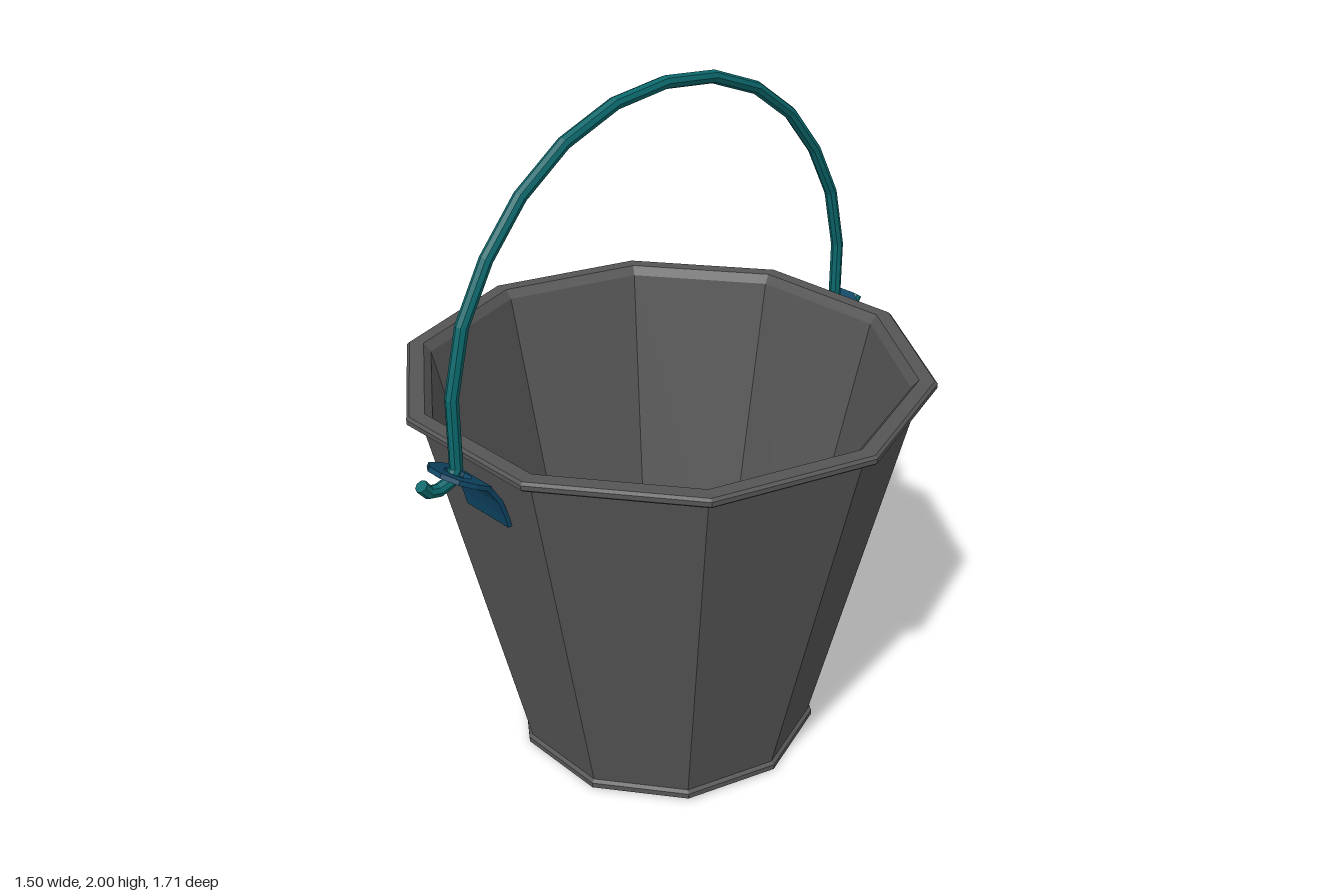
import * as THREE from 'three';

const steel = new THREE.MeshStandardMaterial({ color: 0x555555 });
steel.name = 'dark grey steel';
const teal = new THREE.MeshStandardMaterial({ color: 0x0b686c });
teal.name = 'teal wire';
const blue = new THREE.MeshStandardMaterial({ color: 0x0f4664 });
blue.name = 'deep blue plate';

// faceted mesh: every face gets its own normal
function facet(name, geometry, material) {
  const g = geometry.index ? geometry.toNonIndexed() : geometry;
  g.computeVertexNormals();
  const mesh = new THREE.Mesh(g, material);
  mesh.name = name;
  return mesh;
}

// curve that runs straight between its points, one sample per point
class Polyline extends THREE.Curve {
  constructor(points) {
    super();
    this.points = points;
  }
  getPoint(t, target = new THREE.Vector3()) {
    const n = this.points.length - 1;
    const i = Math.min(Math.floor(t * n + 1e-9), n - 1);
    return target.lerpVectors(this.points[i], this.points[i + 1], t * n - i);
  }
  getUtoTmapping(u) {
    return u;
  }
}

// ten-sided pail: base, foot band, wall, rolled rim, inside wall and floor
function makePail() {
  const profile = [
    [0, 0], [0.45, 0], [0.46, 0.008], [0.46, 0.024], [0.45, 0.032],
    [0.71, 1.168], [0.742, 1.168], [0.75, 1.175], [0.75, 1.188], [0.742, 1.195],
    [0.70, 1.195], [0.68, 1.17], [0.415, 0.045], [0.40, 0.032], [0, 0.032],
  ].map(([r, y]) => new THREE.Vector2(r, y));
  return facet('pail', new THREE.LatheGeometry(profile, 10, Math.PI / 10), steel);
}

// wire handle with hooked ends
function makeHandle() {
  const half = [
    [0.84, 1.14], [0.82, 1.115], [0.79, 1.108], [0.755, 1.118], [0.732, 1.15],
    [0.73, 1.342], [0.685, 1.52], [0.60, 1.67], [0.487, 1.80], [0.344, 1.90], [0.175, 1.963],
  ];
  const path = [...half, [0, 1.982], ...half.map(([z, y]) => [-z, y]).reverse()]
    .map(([z, y]) => new THREE.Vector3(0, y, z));
  const curve = new Polyline(path);
  const group = new THREE.Group();
  group.name = 'handle';
  group.add(facet('handleWire', new THREE.TubeGeometry(curve, path.length - 1, 0.018, 8), teal));
  for (const end of [0, 1]) {
    const cap = facet('handleEnd', new THREE.CircleGeometry(0.018, 8), teal);
    const out = curve.getTangent(end).multiplyScalar(end ? 1 : -1);
    cap.position.copy(path[end ? path.length - 1 : 0]);
    cap.quaternion.setFromUnitVectors(new THREE.Vector3(0, 0, 1), out);
    group.add(cap);
  }
  return group;
}

// bracket: curved strap on the wall and a pierced ear that carries the handle
function makeBracket(name) {
  const group = new THREE.Group();
  group.name = name;

  const side = new THREE.Shape([
    [0.645, 0.972], [0.654, 1.01], [0.67, 1.055], [0.697, 1.097],
    [0.688, 1.108], [0.658, 1.06], [0.642, 1.01], [0.63, 0.972],
  ].map(([z, y]) => new THREE.Vector2(z, y)));
  const strap = new THREE.ExtrudeGeometry(side, { depth: 0.17, bevelEnabled: false });
  strap.rotateY(-Math.PI / 2).translate(0.085, 0, 0);
  group.add(facet('bracketStrap', strap, blue));

  const ring = (r, n, start, sweep) => Array.from({ length: n + 1 }, (_, i) => {
    const a = start + (sweep * i) / n;
    return new THREE.Vector2(r * Math.cos(a), 0.05 + r * Math.sin(a));
  });
  const outline = new THREE.Shape([
    new THREE.Vector2(-0.08, 0), new THREE.Vector2(0.08, 0), ...ring(0.08, 5, 0, Math.PI),
  ]);
  outline.holes.push(new THREE.Path(ring(0.038, 8, Math.PI / 8, -Math.PI * 2).slice(0, -1)));
  const ear = facet('bracketEar',
    new THREE.ExtrudeGeometry(outline, { depth: 0.013, bevelEnabled: false }), blue);
  ear.rotation.x = Math.atan2(0.11, 0.06);
  ear.position.set(0, 1.108, 0.684);
  group.add(ear);
  return group;
}

export function createModel() {
  const model = new THREE.Group();
  model.name = 'bucket';
  const front = makeBracket('frontBracket');
  const back = makeBracket('backBracket');
  back.rotation.y = Math.PI;
  model.add(makePail(), makeHandle(), front, back);
  return model;
}
